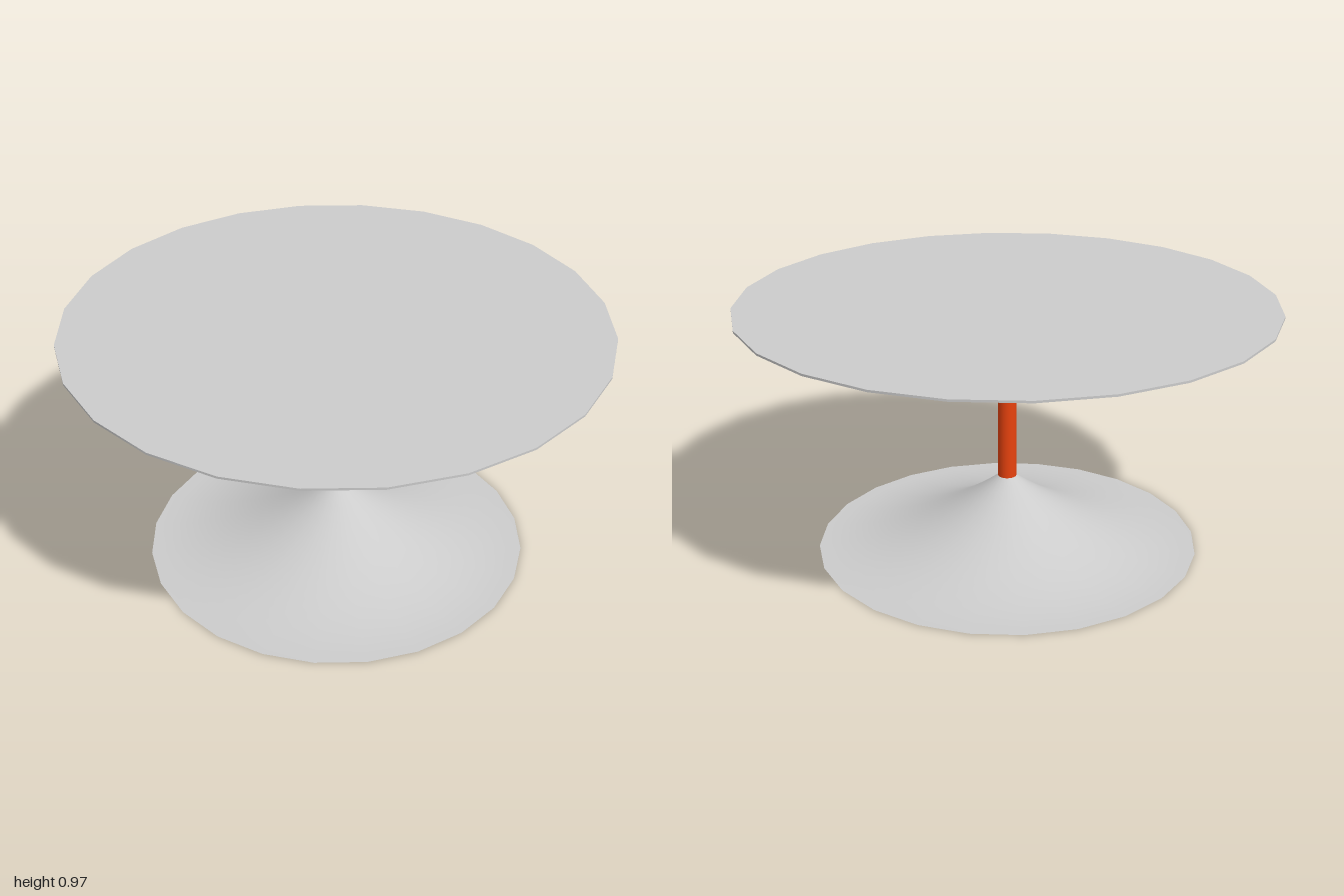
import * as THREE from 'three';

const SIDES = 24;
const STEM_R = 0.035;

export function createModel() {
  const group = new THREE.Group();
  const grey = new THREE.MeshStandardMaterial({ color: 0xcccccc });
  const orange = new THREE.MeshStandardMaterial({ color: 0xe8420e });

  const add = (name, geometry, material, y = 0) => {
    const mesh = new THREE.Mesh(geometry, material);
    mesh.name = name;
    mesh.position.y = y;
    group.add(mesh);
    return mesh;
  };

  // Concave flare: steep at the stem, flattening out to the rim
  const flare = (rimR, rimY, stemY, steps = 14) => {
    const points = [];
    for (let i = 0; i <= steps; i++) {
      const t = i / steps;
      points.push(new THREE.Vector2(rimR + (STEM_R - rimR) * t, rimY + (stemY - rimY) * t * t));
    }
    return points;
  };

  // Foot: flared cone closed by a flat disc underneath
  add('base', new THREE.LatheGeometry(flare(0.73, 0, 0.275), SIDES), grey);
  const bottom = add('baseBottom', new THREE.CircleGeometry(0.73, SIDES), orange);
  bottom.rotation.x = Math.PI / 2;

  // Stem
  add('stem', new THREE.CylinderGeometry(STEM_R, STEM_R, 0.535, SIDES, 1, true), orange, 0.5425);

  // Table top: flared underside below a thin disc
  add('topUnderside', new THREE.LatheGeometry(flare(1, 0.96, 0.81).reverse(), SIDES), orange);
  add('tabletop', new THREE.CylinderGeometry(1, 1, 0.008, SIDES), grey, 0.965);

  return group;
}
